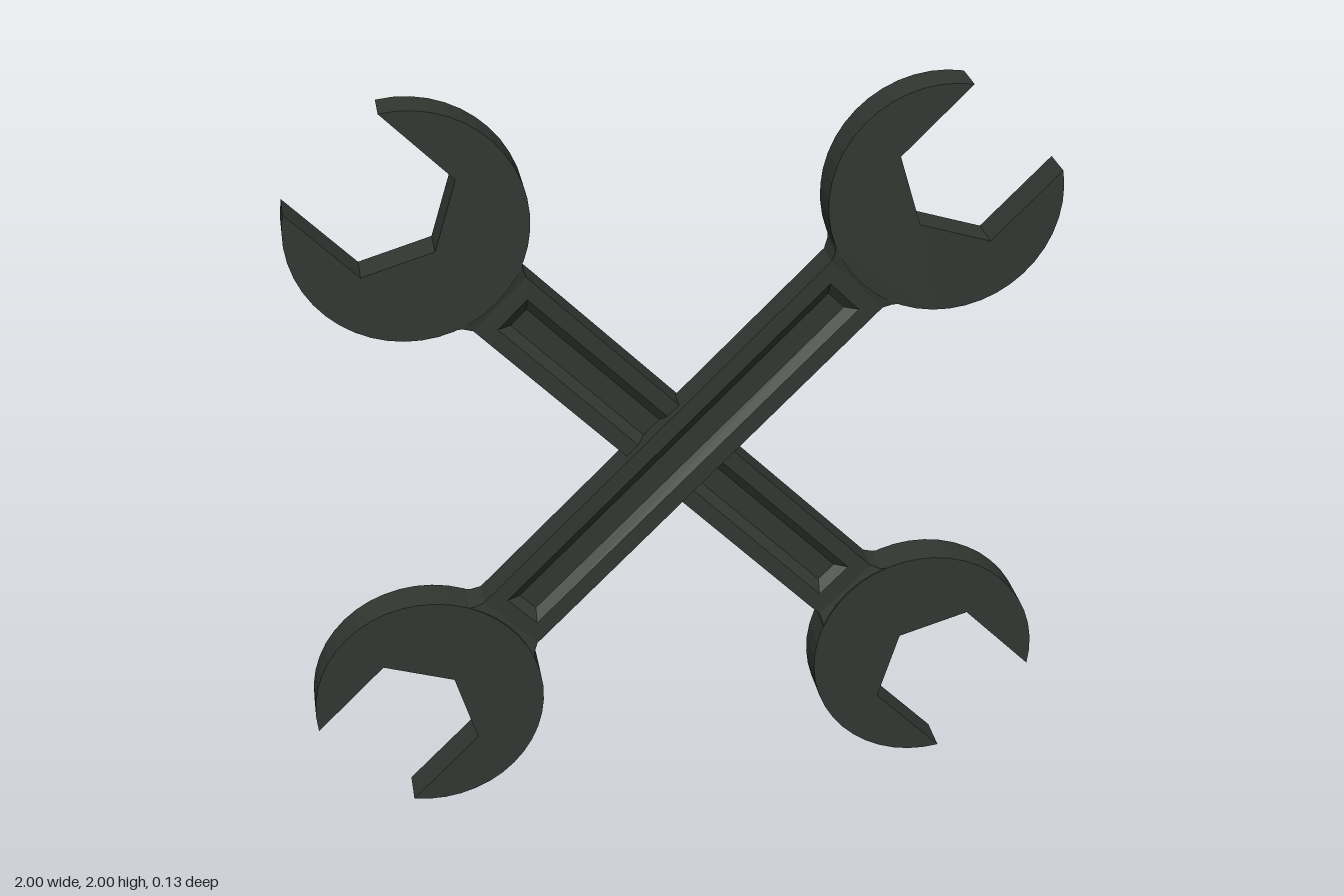
import * as THREE from 'three';

const material = new THREE.MeshStandardMaterial({ color: 0x323732, flatShading: true });

const HEAD_X = 0.976, HEAD_R = 0.31, HEAD_T = 0.053;   // head centre, radius, half thickness
const SHANK_W = 0.099, SHANK_T = 0.045;                // shank half width, half thickness

// Joins four-cornered rings (counter-clockwise seen from the end) into a closed solid
function loft(rings) {
  const tris = [];
  const quad = (a, b, c, d) => tris.push(...a, ...b, ...c, ...a, ...c, ...d);
  for (let r = 0; r + 1 < rings.length; r++) {
    const p = rings[r], q = rings[r + 1];
    for (let i = 0; i < 4; i++) {
      const j = (i + 1) % 4;
      quad(p[i], p[j], q[j], q[i]);
    }
  }
  quad(...[...rings[0]].reverse());
  quad(...rings[rings.length - 1]);
  const geometry = new THREE.BufferGeometry();
  geometry.setAttribute('position', new THREE.Float32BufferAttribute(tris, 3));
  geometry.computeVertexNormals();
  return geometry;
}

const ringZ = ([l, w, z]) => [[-l, -w, z], [l, -w, z], [l, w, z], [-l, w, z]];
const ringX = ([x, w, t]) => [[x, -w, -t], [x, w, -t], [x, w, t], [x, -w, t]];

// Open-ended jaw: a disc with a hexagonal-bottomed slot
function headGeometry() {
  const slot = 0.175, a = Math.asin(slot / HEAD_R), steps = 36;
  const points = [];
  for (let i = 0; i <= steps; i++) {
    const t = a + (2 * Math.PI - 2 * a) * i / steps;
    points.push(new THREE.Vector2(HEAD_X + HEAD_R * Math.cos(t), HEAD_R * Math.sin(t)));
  }
  points.push(new THREE.Vector2(0.973, -slot), new THREE.Vector2(0.88, 0), new THREE.Vector2(0.973, slot));
  const geometry = new THREE.ExtrudeGeometry(new THREE.Shape(points), { depth: 2 * HEAD_T, bevelEnabled: false });
  return geometry.translate(0, 0, -HEAD_T);
}

function part(name, geometry) {
  const mesh = new THREE.Mesh(geometry, material);
  mesh.name = name;
  return mesh;
}

function createWrench(name) {
  const wrench = new THREE.Group();
  wrench.name = name;

  // Shank with a sloped-wall groove sunk into its front face
  wrench.add(part('shank', loft([
    [0.655, SHANK_W, -SHANK_T], [0.655, SHANK_W, SHANK_T],
    [0.61, 0.055, SHANK_T], [0.585, 0.03, SHANK_T - 0.022],
  ].map(ringZ))));

  // Matching flared neck and jaw on both ends
  const neck = loft([
    [0.645, SHANK_W - 0.001, SHANK_T - 0.001], [0.655, SHANK_W, SHANK_T],
    [0.68, 0.111, 0.05], [0.7, 0.13, HEAD_T - 0.001],
  ].map(ringX));
  const head = headGeometry();
  for (const [side, angle] of [['upper', 0], ['lower', Math.PI]]) {
    const end = new THREE.Group();
    end.name = side + 'End';
    end.add(part(side + 'Neck', neck), part(side + 'Head', head));
    end.rotation.z = angle;
    wrench.add(end);
  }
  return wrench;
}

export function createModel() {
  const model = new THREE.Group();
  model.name = 'crossedWrenches';
  // Two crossed wrenches, one set slightly ahead of the other
  for (const [name, angle, z] of [['frontWrench', Math.PI / 4, 0.0135], ['backWrench', 3 * Math.PI / 4, -0.0135]]) {
    const wrench = createWrench(name);
    wrench.rotation.z = angle;
    wrench.position.set(0, 1, z);
    model.add(wrench);
  }
  return model;
}
